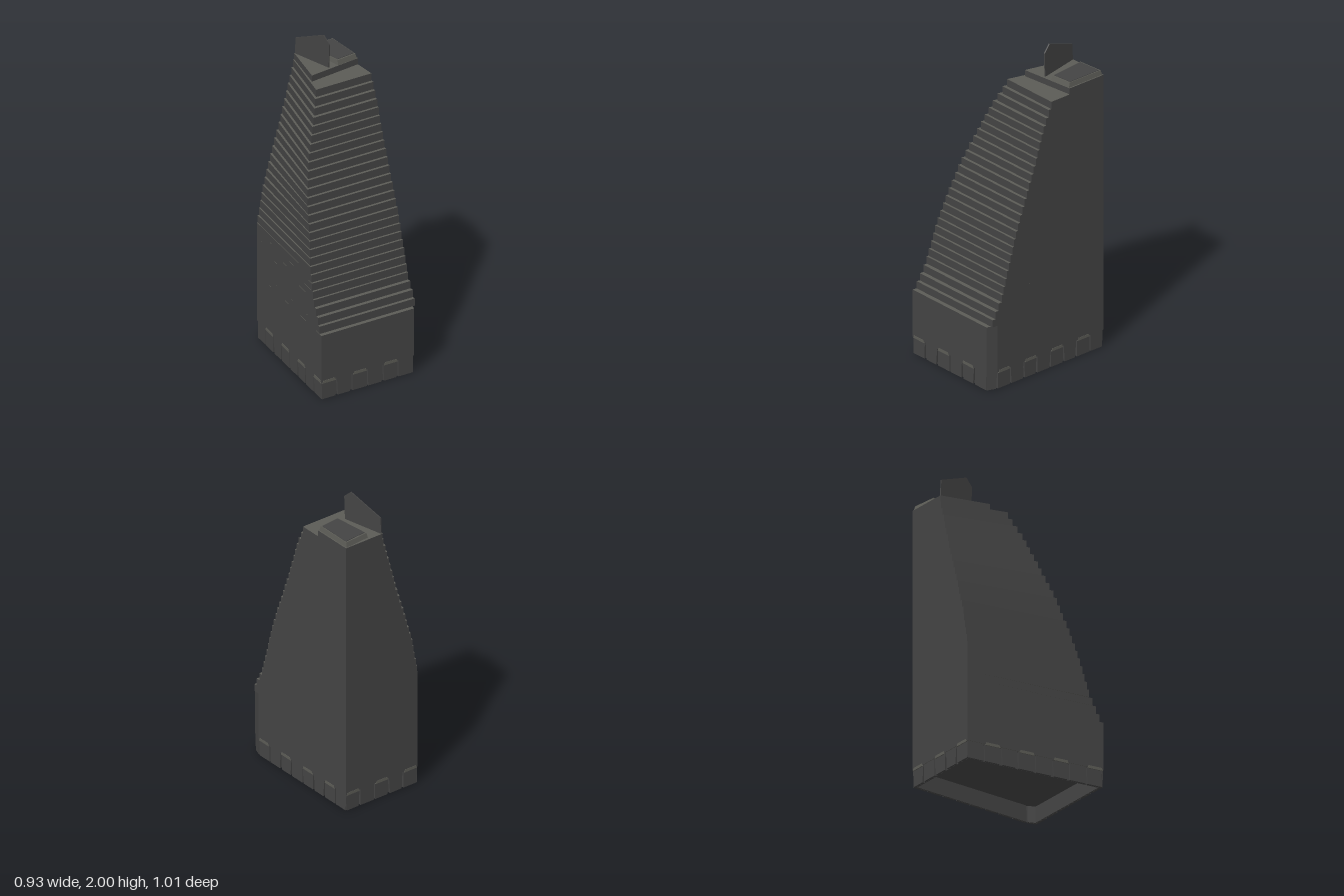
import * as THREE from 'three';

const wall = new THREE.MeshStandardMaterial({ name: 'dark cladding', color: 0x444444, flatShading: true });
const roof = new THREE.MeshStandardMaterial({ name: 'grey roofing', color: 0x5c5c56, flatShading: true });

// Ground plan as [x, z]: back left, back right, two chamfer corners, front left
const PLAN = [[-0.05, -0.508], [0.462, -0.34], [0.2, 0.45], [0.155, 0.505], [-0.468, 0.3]];

// Setback curves: [height, value]
const FRONT_Z = [[0.42, 0.5], [0.48, 0.48], [0.6, 0.42], [0.8, 0.365], [1.0, 0.31], [1.2, 0.24], [1.4, 0.17], [1.6, 0.11], [1.76, 0.045]];
const LEFT_X = [[0.42, -0.462], [0.57, -0.43], [0.8, -0.395], [1.0, -0.345], [1.2, -0.29], [1.4, -0.21], [1.6, -0.12], [1.76, -0.035]];
const BACK_Z = [[0.42, -0.508], [0.77, -0.508], [1.0, -0.495], [1.2, -0.477], [1.4, -0.458], [1.6, -0.441], [1.8, -0.424]];

function sample(table, y) {
  for (let i = 1; i < table.length; i++) {
    const [y0, a] = table[i - 1], [y1, b] = table[i];
    if (y <= y1) return a + (b - a) * (y - y0) / (y1 - y0);
  }
  return table[table.length - 1][1];
}

// Points on the straight right and back walls
const onRightWall = z => [0.2 + (0.45 - z) * 0.3316, z];
const onBackWall = z => [0.462 + (z + 0.34) * 3.048, z];

function add(group, name, geometry, material) {
  const mesh = new THREE.Mesh(geometry, material);
  mesh.name = name;
  group.add(mesh);
  return mesh;
}

// Vertical prism over an [x, z] outline
function prism(points, y0, y1) {
  const shape = new THREE.Shape(points.map(([x, z]) => new THREE.Vector2(x, -z)));
  const g = new THREE.ExtrudeGeometry(shape, { depth: y1 - y0, bevelEnabled: false });
  return g.rotateX(-Math.PI / 2).translate(0, y0, 0);
}

// Upright plate along an edge; outline is [distance along edge, y]
function plate(p, q, outline, depth, inset) {
  const shape = new THREE.Shape(outline.map(([s, y]) => new THREE.Vector2(s, y)));
  const g = new THREE.ExtrudeGeometry(shape, { depth, bevelEnabled: false });
  g.translate(0, 0, inset);
  return g.rotateY(Math.atan2(p[1] - q[1], q[0] - p[0])).translate(p[0], 0, p[1]);
}

function buildPlinth() {
  const group = new THREE.Group();
  group.name = 'plinth';
  PLAN.forEach((p, e) => {
    const q = PLAN[(e + 1) % PLAN.length];
    const length = Math.hypot(q[0] - p[0], q[1] - p[1]);
    const count = Math.max(1, Math.round(length / 0.11));
    const w = length / count;
    add(group, 'plinthBacking', plate(p, q, [[0.01, 0], [length - 0.01, 0], [length - 0.01, 0.11], [0.01, 0.11]], 0.006, 0.016), wall);
    for (let i = 0; i < count; i++) {
      // Tapered panels with uneven joints
      const s = i * w, t = 0.04 * w * (1 + (i * 2 + e) % 3);
      const outline = [[s + t, 0], [s + w - t * 0.8, 0], [s + w - 0.003, 0.112], [s + 0.003, 0.112]];
      add(group, 'plinthPanel', plate(p, q, outline, 0.012, 0.003), wall);
      if ((i + e) % 2 === 0 && count > 1) {
        const sill = [[s + 0.006, 0.104], [s + w - 0.006, 0.104], [s + w - 0.014, 0.122], [s + 0.014, 0.122]];
        add(group, 'plinthSill', plate(p, q, sill, 0.008, -0.002), roof);
      }
    }
  });
  return group;
}

function buildTerraces() {
  const group = new THREE.Group();
  group.name = 'terraces';
  const floors = 28, y0 = 0.42, h = (1.76 - y0) / floors;
  for (let i = 0; i < floors; i++) {
    const y = y0 + i * h, m = y + h * 0.8;
    const frontRight = onRightWall(sample(FRONT_Z, m));
    const x = sample(LEFT_X, m);
    const frontLeft = [x, frontRight[1] - 0.33 * (frontRight[0] - x)];
    const backLeft = onBackWall(sample(BACK_Z, m));
    add(group, 'terraceFloor', prism([backLeft, PLAN[1], frontRight, frontLeft], y, y + h), [roof, wall]);
  }
  return group;
}

// Raised roof slab with tapered light kerb and dark top
function buildRoof() {
  const group = new THREE.Group();
  group.name = 'roof';
  add(group, 'roofSlab', prism([onBackWall(-0.426), PLAN[1], onRightWall(-0.088), [0.03, -0.16]], 1.76, 1.8), [roof, wall]);

  const unit = [[0.285, -0.378], [0.455, -0.338], [0.372, -0.092], [0.23, -0.122]];
  const cx = 0.336, cz = -0.232;
  const scaled = k => unit.map(([x, z]) => [cx + (x - cx) * k, cz + (z - cz) * k]);
  const kerb = prism(unit, 1.8, 1.83);
  const pos = kerb.attributes.position;
  for (let i = 0; i < pos.count; i++) {
    if (pos.getY(i) < 1.82) continue;
    pos.setX(i, cx + (pos.getX(i) - cx) * 0.94);
    pos.setZ(i, cz + (pos.getZ(i) - cz) * 0.94);
  }
  kerb.computeVertexNormals();
  add(group, 'roofUnitKerb', kerb, roof);
  add(group, 'roofUnitTop', prism(scaled(0.87), 1.828, 1.833), wall);

  // Upright blade standing on the roof, running front to back
  const blade = [[0, 1.79], [0.275, 1.79], [0.281, 1.955], [0.232, 2.0], [0.004, 1.905]];
  add(group, 'roofBlade', plate([0.204, -0.42], [0.175, -0.14], blade, 0.007, -0.0035), wall);
  return group;
}

export function createModel() {
  const model = new THREE.Group();
  model.name = 'steppedTower';
  model.add(buildPlinth());
  add(model, 'lowerBlock', prism(PLAN, 0.11, 0.42), [roof, wall]);
  add(model, 'soffit', prism(PLAN.map(([x, z]) => [x * 0.97, z * 0.97]), 0.106, 0.111), wall);
  model.add(buildTerraces(), buildRoof());
  return model;
}
